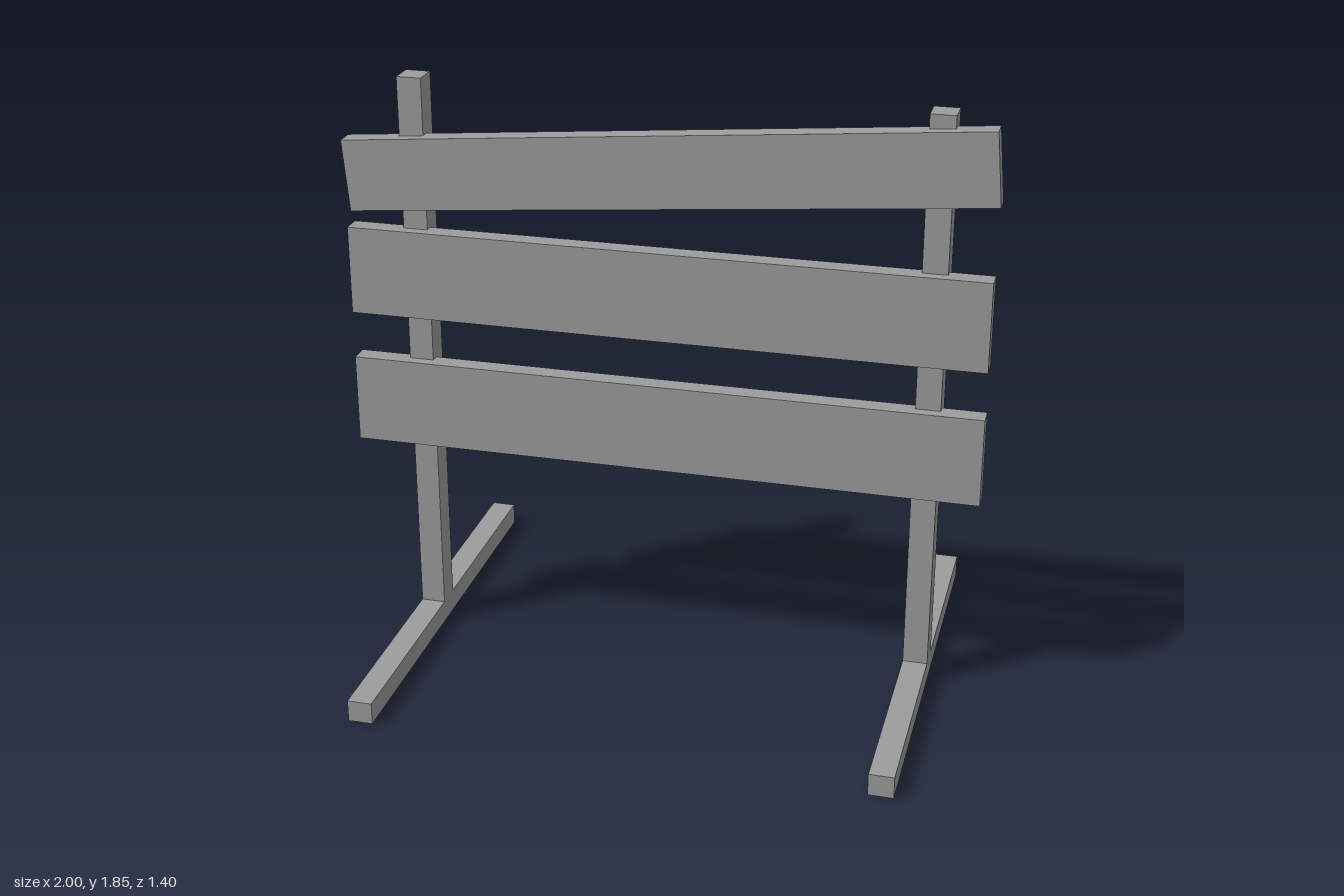
import * as THREE from 'three';

const material = new THREE.MeshStandardMaterial({ color: 0x9c9c9c, flatShading: true });

function addBox(parent, name, size, position, tilt = 0) {
  const mesh = new THREE.Mesh(new THREE.BoxGeometry(...size), material);
  mesh.name = name;
  mesh.position.set(...position);
  mesh.rotation.z = tilt;
  parent.add(mesh);
}

export function createModel() {
  const model = new THREE.Group();
  model.name = 'barrier';

  // Two uprights, each standing on a long floor foot
  for (const [side, x] of [['left', 0.819], ['right', -0.785]]) {
    addBox(model, side + 'Foot', [0.077, 0.07, 1.398], [x, 0.035, 0]);
    addBox(model, side + 'Post', [0.077, 1.78, 0.083], [x, 0.96, 0]);
  }

  // Level boards, set slightly into the front of the posts
  const boardLength = 1.988, boardDepth = 0.063, boardZ = 0.046;
  addBox(model, 'lowerBoard', [boardLength, 0.282, boardDepth], [-0.001, 0.797, boardZ]);
  addBox(model, 'middleBoard', [boardLength, 0.282, boardDepth], [-0.001, 1.23, boardZ]);

  // Narrower top board hanging askew
  addBox(model, 'topBoard', [boardLength, 0.225, boardDepth], [0, 1.624, boardZ], THREE.MathUtils.degToRad(5));

  return model;
}
